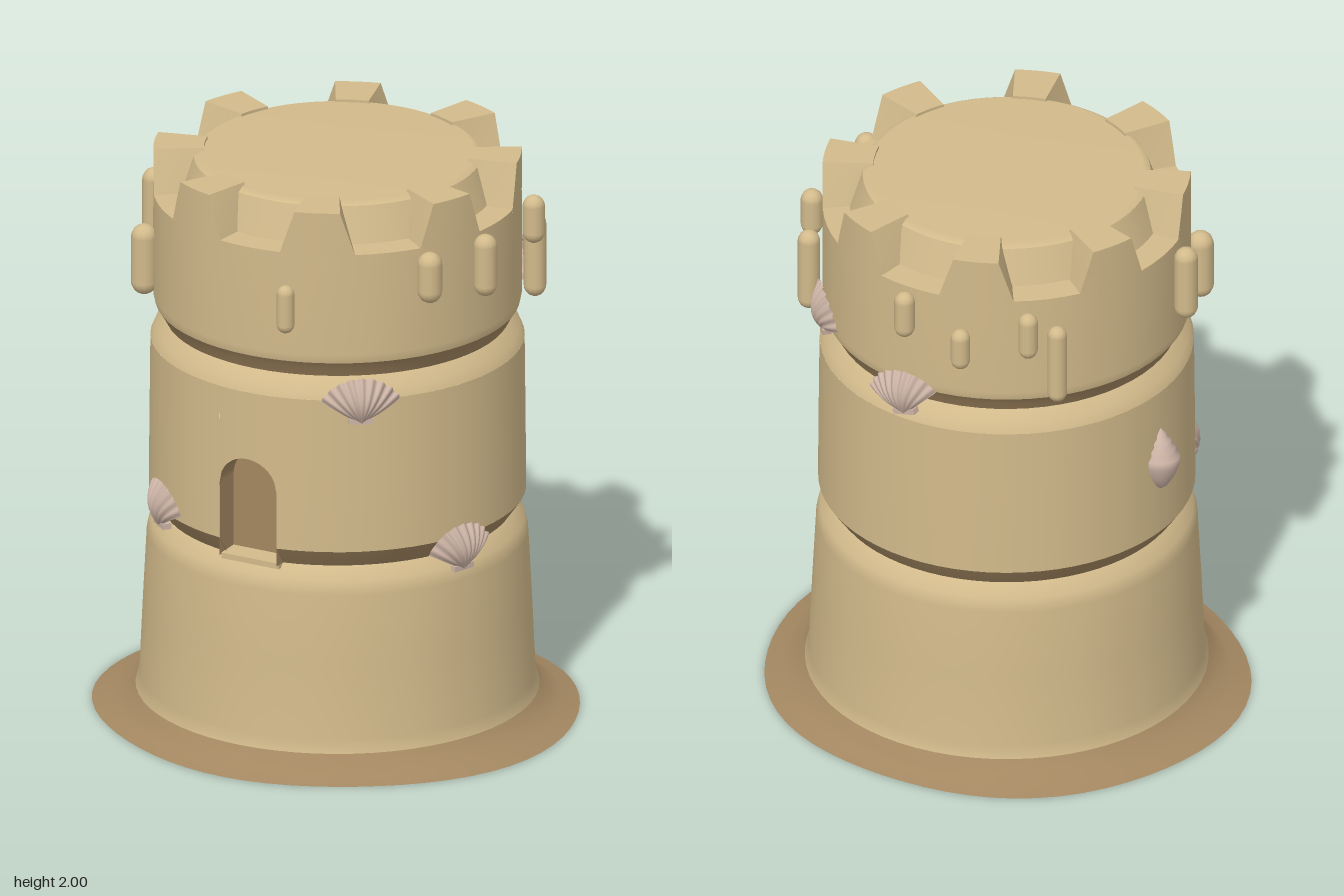
import * as THREE from 'three';
import { ParametricGeometry } from 'three/addons/geometries/ParametricGeometry.js';

const mat = (name, color, side = THREE.FrontSide) => {
  const m = new THREE.MeshStandardMaterial({ color, side });
  m.name = name;
  return m;
};

export function createModel() {
  const sand = mat('drySand', 0xd2ba8b);
  const wet = mat('wetSand', 0xa38761, THREE.DoubleSide);
  const shell = mat('shellPink', 0xcdb4a6, THREE.DoubleSide);
  const model = new THREE.Group();
  model.name = 'sandTower';

  const add = (name, geometry, material, parent = model) => {
    const mesh = new THREE.Mesh(geometry, material);
    mesh.name = name;
    parent.add(mesh);
    return mesh;
  };
  const lathe = (points, gap = 0) => new THREE.LatheGeometry(
    points.map(([r, y]) => new THREE.Vector2(r, y)), 64, gap, Math.PI * 2 - gap * 2);
  const lerp = THREE.MathUtils.lerp;

  // Uneven wet skirt around the foot, with its underside
  const skirt = lathe([[0.81, 0], [0.75, 0.018], [0.71, 0.042], [0.68, 0.075]]);
  const foot = lathe([[0, 0], [0.81, 0]]);
  for (const g of [skirt, foot]) {
    const p = g.attributes.position;
    for (let i = 0; i < p.count; i++) {
      if (p.getY(i) > 0.03) continue;
      const a = Math.atan2(p.getZ(i), p.getX(i));
      const f = 1 + 0.024 * Math.cos(2 * a) + 0.01 * Math.sin(5 * a);
      p.setXYZ(i, p.getX(i) * f, p.getY(i), p.getZ(i) * f);
    }
    g.computeVertexNormals();
  }
  add('skirt', skirt, wet);
  add('underside', foot, wet);

  // Three stacked drums with wet grooves between them; the middle one is open at the door
  const doorHalf = 0.11, spring = 0.98, sill = 0.72;
  const doorAngle = Math.asin(doorHalf / 0.633);
  add('lowerDrum', lathe([[0.68, 0.075], [0.667, 0.12], [0.655, 0.38], [0.642, 0.63], [0.63, 0.68], [0.59, 0.72]]), sand);
  add('lowerGroove', lathe([[0.59, 0.72], [0.615, 0.755], [0.635, 0.785]], doorAngle), wet);
  add('middleDrum', lathe([[0.635, 0.785], [0.634, 0.95], [0.632, 1.15], [0.63, 1.33]], doorAngle), sand);
  add('middleDrumShoulder', lathe([[0.63, 1.33], [0.615, 1.365], [0.58, 1.4]]), sand);
  add('upperGroove', lathe([[0.58, 1.4], [0.598, 1.435], [0.614, 1.458]]), wet);
  add('upperDrum', lathe([[0.614, 1.458], [0.621, 1.49], [0.62, 1.85]]), sand);

  // Wall above the door arch
  add('doorLintel', new ParametricGeometry((u, v, t) => {
    const a = lerp(-doorAngle, doorAngle, u);
    const x = 0.633 * Math.sin(a);
    const arch = spring + Math.sqrt(Math.max(0, doorHalf ** 2 - x * x));
    const y = lerp(arch, 1.33, v);
    const r = lerp(0.635, 0.63, (y - 0.785) / 0.545);
    t.set(r * Math.sin(a), y, r * Math.cos(a));
  }, 24, 6), sand);

  // Recessed doorway
  const outline = u => {
    if (u < 0.25) return new THREE.Vector2(-doorHalf, lerp(sill, spring, u * 4));
    if (u > 0.75) return new THREE.Vector2(doorHalf, lerp(spring, sill, u * 4 - 3));
    const a = Math.PI * (1.5 - 2 * u);
    return new THREE.Vector2(doorHalf * Math.cos(a), spring + doorHalf * Math.sin(a));
  };
  add('doorReveal', new ParametricGeometry((u, v, t) => {
    const p = outline(u);
    t.set(p.x, p.y, lerp(Math.sqrt(0.633 ** 2 - p.x ** 2), 0.52, v));
  }, 32, 1), wet);
  const outlinePoints = Array.from({ length: 33 }, (_, i) => outline(i / 32));
  add('doorBack', new THREE.ShapeGeometry(new THREE.Shape(outlinePoints)), wet).position.z = 0.525;
  add('doorSill', new THREE.BoxGeometry(0.22, 0.02, 0.1), sand).position.set(0, 0.715, 0.56);

  // Filled top and the floor of the notches
  add('notchFloor', lathe([[0.62, 1.85], [0.5, 1.855]]), sand);
  add('topWall', lathe([[0.53, 1.85], [0.485, 1.975]]), sand);
  add('topCap', lathe([[0.485, 1.975], [0.46, 1.99], [0, 1.992]]), sand);

  // Eight merlons, wider at the bottom, bent round the rim
  for (let k = 0; k < 8; k++) {
    const g = new THREE.BoxGeometry(1, 1, 1, 6, 3, 2);
    const p = g.attributes.position;
    for (let i = 0; i < p.count; i++) {
      const h = p.getY(i) + 0.5;
      const a = (k + 0.5) * Math.PI / 4 + p.getX(i) * 2 * lerp(0.212, 0.125, h);
      const r = lerp(0.45, 0.62, p.getZ(i) + 0.5);
      p.setXYZ(i, r * Math.sin(a), lerp(1.84, 2, h), r * Math.cos(a));
    }
    g.computeVertexNormals();
    add('merlon', g, sand);
  }

  // Drips clinging to the upper drum: x, z, bottom, top, radius
  const drips = [
    [-0.65, 0.1, 1.57, 1.84, 0.04], [-0.55, 0.35, 1.49, 1.74, 0.045],
    [0.145, 0.625, 1.57, 1.74, 0.03], [0.545, 0.345, 1.66, 1.84, 0.042],
    [0.64, 0.13, 1.63, 1.85, 0.04], [0.605, -0.27, 1.68, 1.85, 0.038],
    [0.56, -0.36, 1.45, 1.75, 0.038], [0, -0.645, 1.67, 1.84, 0.035],
    [-0.2, -0.61, 1.59, 1.74, 0.033], [-0.4, -0.5, 1.64, 1.81, 0.033],
    [-0.475, -0.435, 1.46, 1.75, 0.033]
  ];
  for (const [x, z, low, high, r] of drips) {
    const drip = add('drip', new THREE.CapsuleGeometry(r, high - low - 2 * r, 5, 12), sand);
    drip.position.set(x, (low + high) / 2, z);
  }

  // Ribbed fan shells
  const fanGeometry = new ParametricGeometry((u, v, t) => {
    const a = (u - 0.5) * 2.1;
    const rib = Math.cos(u * Math.PI * 18);
    const r = v * (0.15 + 0.012 * Math.cos(a) - 0.004 * rib);
    const x = r * Math.sin(a);
    const dome = 0.045 * Math.sin(Math.PI * Math.min(1, v * 0.85 + 0.1)) * Math.cos(a * 1.2);
    t.set(x, r * Math.cos(a), dome - 0.004 * rib * v - x * x * 0.8);
  }, 54, 8);
  const fan = (x, y, z, tilt = 0) => {
    const g = new THREE.Group();
    g.name = 'fanShell';
    g.rotation.order = 'YXZ';
    g.position.set(x, y, z);
    g.rotation.set(0, Math.atan2(x, z), tilt);
    add('shellFan', fanGeometry, shell, g);
    add('shellHinge', new THREE.BoxGeometry(0.085, 0.02, 0.03), shell, g).position.y = 0.01;
    model.add(g);
    return g;
  };
  fan(0.375, 1.25, 0.515);
  fan(-0.4, 0.73, 0.495);
  fan(0.595, 0.665, 0.215);
  fan(0.44, 1.46, -0.455, -0.15);
  fan(0.0, 1.36, -0.635, 0.25);
  // Small shell lying at the door step
  const step = fan(0, 0.722, 0.51);
  step.rotation.x = Math.PI / 2;
  step.scale.set(0.75, 0.6, 0.3);

  // Spiral shell on the side wall
  const whorls = [[0, 0.95], [0.025, 0.97], [0.05, 1.01], [0.068, 1.06], [0.066, 1.085], [0.05, 1.1],
    [0.053, 1.115], [0.036, 1.13], [0.038, 1.143], [0.02, 1.158], [0.02, 1.168], [0, 1.19]];
  add('spiralShell', lathe(whorls), shell).position.set(-0.63, 0, -0.03);

  return model;
}
